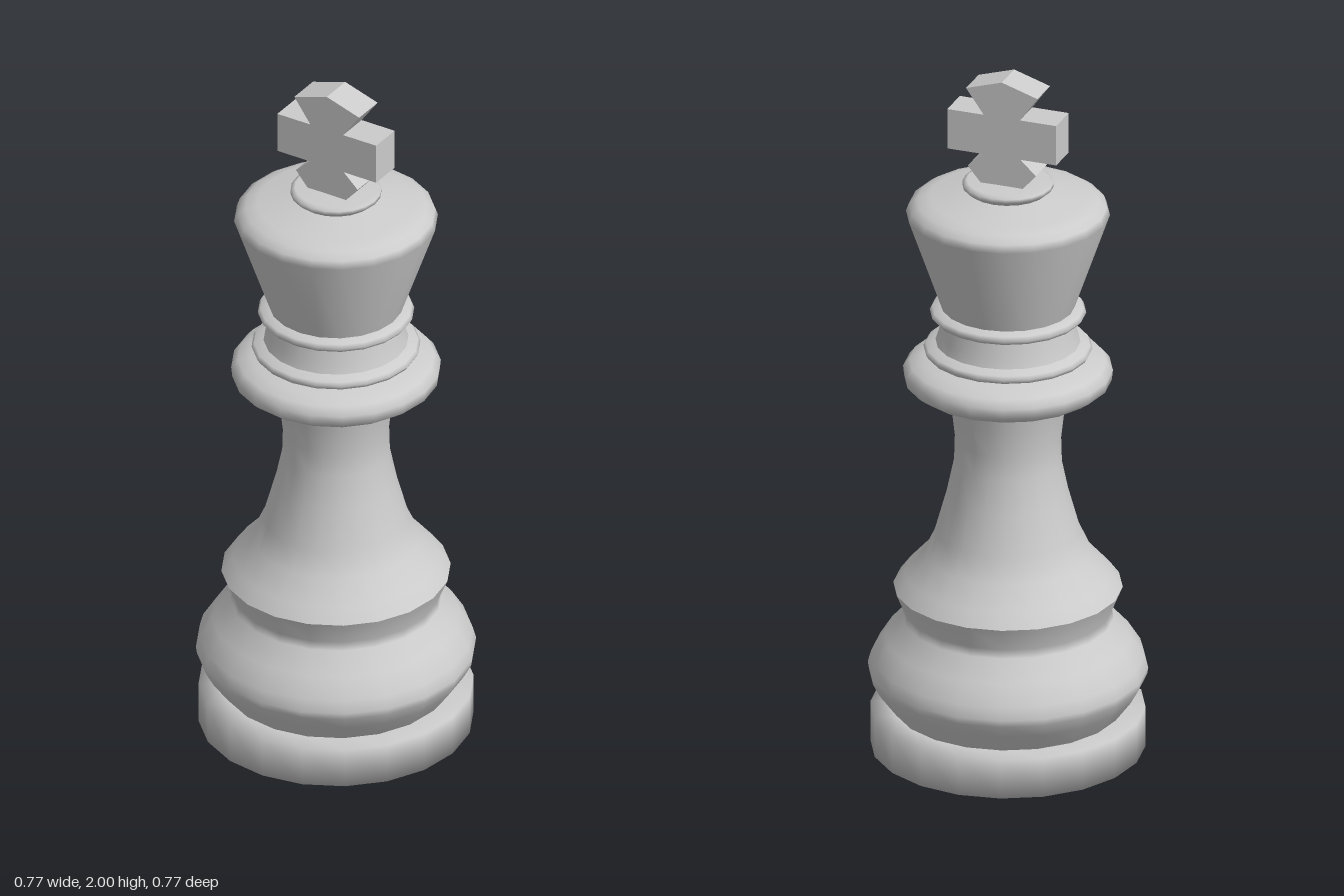
import * as THREE from 'three';

const SIDES = 20;
const material = new THREE.MeshStandardMaterial({ color: 0xcccccc });

// Turned part from a bottom-to-top profile of [radius, height] pairs
function turned(name, profile) {
  const points = profile.map(([r, y]) => new THREE.Vector2(r, y));
  const mesh = new THREE.Mesh(new THREE.LatheGeometry(points, SIDES), material);
  mesh.name = name;
  return mesh;
}

export function createModel() {
  const group = new THREE.Group();
  group.name = 'chessKing';

  group.add(
    turned('base', [[0, 0], [0.378, 0], [0.378, 0.115], [0.31, 0.117]]),
    turned('foot', [
      [0.315, 0.115], [0.36, 0.175], [0.382, 0.215], [0.385, 0.235], [0.375, 0.27],
      [0.34, 0.325], [0.29, 0.38], [0.286, 0.405], [0.315, 0.475],
    ]),
    turned('stem', [
      [0.315, 0.475], [0.285, 0.515], [0.23, 0.575], [0.2, 0.64], [0.168, 0.755],
      [0.148, 0.85], [0.146, 0.92], [0.155, 1.0], [0.168, 1.065],
    ]),
    turned('collar', [
      [0.16, 1.06], [0.22, 1.064], [0.255, 1.073], [0.285, 1.095], [0.288, 1.125],
      [0.27, 1.147], [0.235, 1.16], [0.2, 1.168],
    ]),
    turned('lowerRing', [
      [0.2, 1.166], [0.225, 1.176], [0.232, 1.188], [0.225, 1.198], [0.198, 1.208],
    ]),
    turned('neck', [[0.2, 1.205], [0.19, 1.235], [0.18, 1.285]]),
    turned('upperRing', [
      [0.178, 1.282], [0.205, 1.284], [0.215, 1.296], [0.208, 1.308], [0.183, 1.315],
    ]),
    turned('head', [
      [0.183, 1.312], [0.28, 1.59], [0.272, 1.612], [0.25, 1.628], [0.215, 1.64], [0.105, 1.66],
    ]),
    turned('finial', [
      [0.105, 1.655], [0.125, 1.672], [0.125, 1.683], [0.113, 1.69], [0, 1.692],
    ]),
  );

  // Flared cross, right half of the outline mirrored to the left
  const half = [
    [0.06, 1.688], [0.1, 1.735], [0.055, 1.777], [0.16, 1.777],
    [0.16, 1.895], [0.053, 1.895], [0.105, 1.967],
  ];
  const mirrored = half.map(([x, y]) => [-x, y]).reverse();
  const outline = [...half, [0, 2], ...mirrored].map(([x, y]) => new THREE.Vector2(x, y));
  const crossGeometry = new THREE.ExtrudeGeometry(new THREE.Shape(outline), {
    depth: 0.095,
    bevelEnabled: false,
  });
  crossGeometry.translate(0, 0, -0.0475);
  const cross = new THREE.Mesh(crossGeometry, material);
  cross.name = 'cross';
  group.add(cross);

  return group;
}
